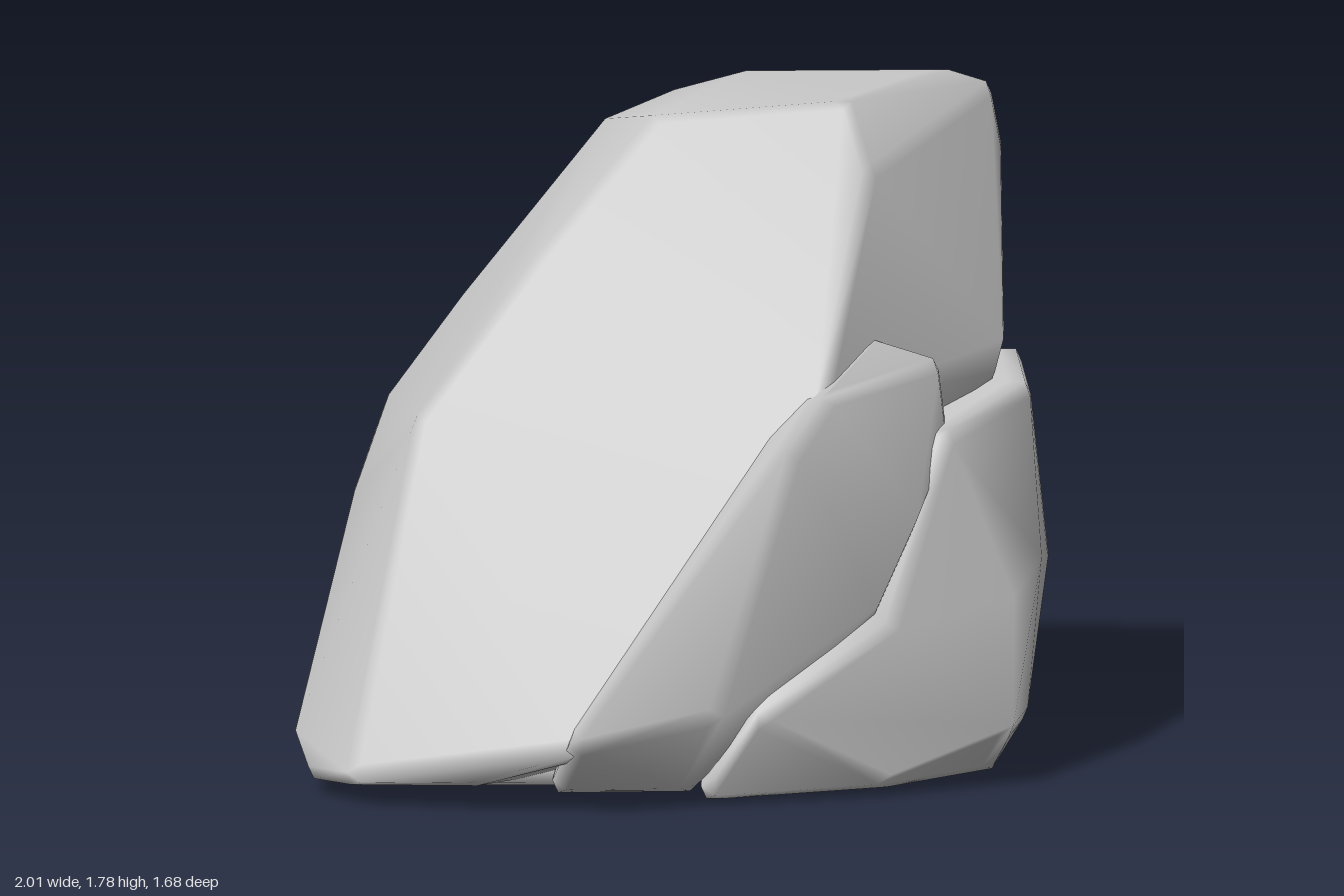
import * as THREE from 'three';
import { mergeVertices } from 'three/addons/utils/BufferGeometryUtils.js';
import { ConvexGeometry } from 'three/addons/geometries/ConvexGeometry.js';

const EDGE = 0.045; // radius of the worn edges

// Convex boulder with softly rounded corners: a tiny ball is swept over the hull points
function boulder(name, corners, material) {
  const pts = corners.map(c => new THREE.Vector3(...c));
  const centre = pts.reduce((s, p) => s.add(p), new THREE.Vector3()).divideScalar(pts.length);
  const ball = new THREE.IcosahedronGeometry(EDGE, 0).getAttribute('position');
  const cloud = [];
  for (const p of pts) {
    const inset = p.clone().add(centre.clone().sub(p).setLength(EDGE));
    for (let i = 0; i < ball.count; i++) {
      cloud.push(new THREE.Vector3().fromBufferAttribute(ball, i).add(inset));
    }
  }
  let geo = new ConvexGeometry(cloud);
  geo.deleteAttribute('normal');
  geo = mergeVertices(geo, 1e-4);
  geo.computeVertexNormals();
  const mesh = new THREE.Mesh(geo, material);
  mesh.name = name;
  return mesh;
}

export function createModel() {
  const stone = new THREE.MeshStandardMaterial({ color: 0xc7c7c7 });
  stone.name = 'grey stone';
  const rock = new THREE.Group();
  rock.name = 'rock';

  // Large leaning slab with the flat top
  rock.add(boulder('leaningSlab', [
    // top plateau
    [-0.19, 1.68, -0.42], [-0.05, 1.73, -0.22], [0.47, 1.77, -0.19], [0.72, 1.775, -0.6],
    [0.82, 1.73, -0.66], [0.2, 1.75, -0.73], [0, 1.71, -0.67],
    // right side
    [0.53, 1.62, -0.06], [0.85, 1.6, -0.62], [0.86, 1.38, -0.48], [0.88, 1.12, -0.25],
    [0.82, 1.12, -0.58], [0.86, 1.04, -0.18], [0.42, 1.06, 0.44],
    // overhanging back edge
    [0.58, 1.25, -0.8], [0.2, 1.22, -0.84], [-0.35, 1.1, -0.64], [-0.6, 1.18, -0.35],
    [-0.8, 0.9, -0.28], [-0.87, 0.7, -0.1],
    // front ridge and foot
    [-0.38, 1.38, 0.04], [-0.7, 0.95, 0.26], [-1, 0.13, 0.42], [-0.96, 0.05, 0.52],
    [-0.85, 0.06, 0.66], [-0.55, 0.07, 0.73], [-0.25, 0.16, 0.81], [0.18, 0.55, 0.67],
    [-0.4, 0, 0.25], [-0.87, 0.04, 0.12],
  ], stone));

  // Rounded block under the right side
  rock.add(boulder('rightBlock', [
    // underside
    [0.85, 0.04, 0.3], [0.55, 0.03, 0.5], [0.1, 0.03, 0.63], [0.85, 0.08, 0], [0.2, 0.05, -0.3],
    // front face
    [0.9, 0.14, 0.35], [0.57, 0.45, 0.5], [0.22, 0.22, 0.65], [0.91, 0.5, 0.24], [0.72, 0.95, 0.2],
    // right face
    [0.94, 0.15, 0.15], [0.99, 0.6, 0.08], [1, 0.55, -0.14], [0.95, 0.58, -0.33],
    [0.78, 0.3, -0.38], [0.86, 0.65, -0.49],
    // shoulder and back
    [0.93, 1.02, -0.14], [0.89, 1.05, -0.44], [0.52, 0.98, -0.6], [0.48, 0.75, -0.63],
    [0.2, 0.95, -0.2],
  ], stone));

  // Upright block under the back of the slab
  rock.add(boulder('backBlock', [
    [0.6, 0.04, 0], [0, 0.03, 0.45], [-0.6, 0.02, 0.4], [-0.78, 0.03, 0],
    [-0.4, 0.03, -0.69], [0.05, 0.04, -0.66], [0.5, 0.06, -0.38],
    [-0.62, 0.4, -0.49], [-0.76, 0.6, -0.22], [-0.36, 0.75, -0.69], [-0.4, 0.92, -0.62],
    [0.1, 0.92, -0.69], [0.3, 0.8, -0.66], [0.3, 0.92, -0.4],
  ], stone));

  // Bulge filling the corner between the slab and the right block
  rock.add(boulder('frontBulge', [
    [0.42, 1.1, 0.42], [0.54, 1.19, 0.18], [0.7, 1.12, 0.1], [0.58, 1.1, -0.02],
    [0.73, 0.92, 0.1], [0.32, 0.97, 0.59], [0.67, 0.75, 0.35], [0.56, 0.5, 0.49],
    [-0.25, 0.17, 0.83], [0.1, 0.22, 0.71], [-0.3, 0.04, 0.65], [0.02, 0.04, 0.66],
    [0.2, 1, 0.1], [-0.2, 0.4, 0.4],
  ], stone));

  return rock;
}
